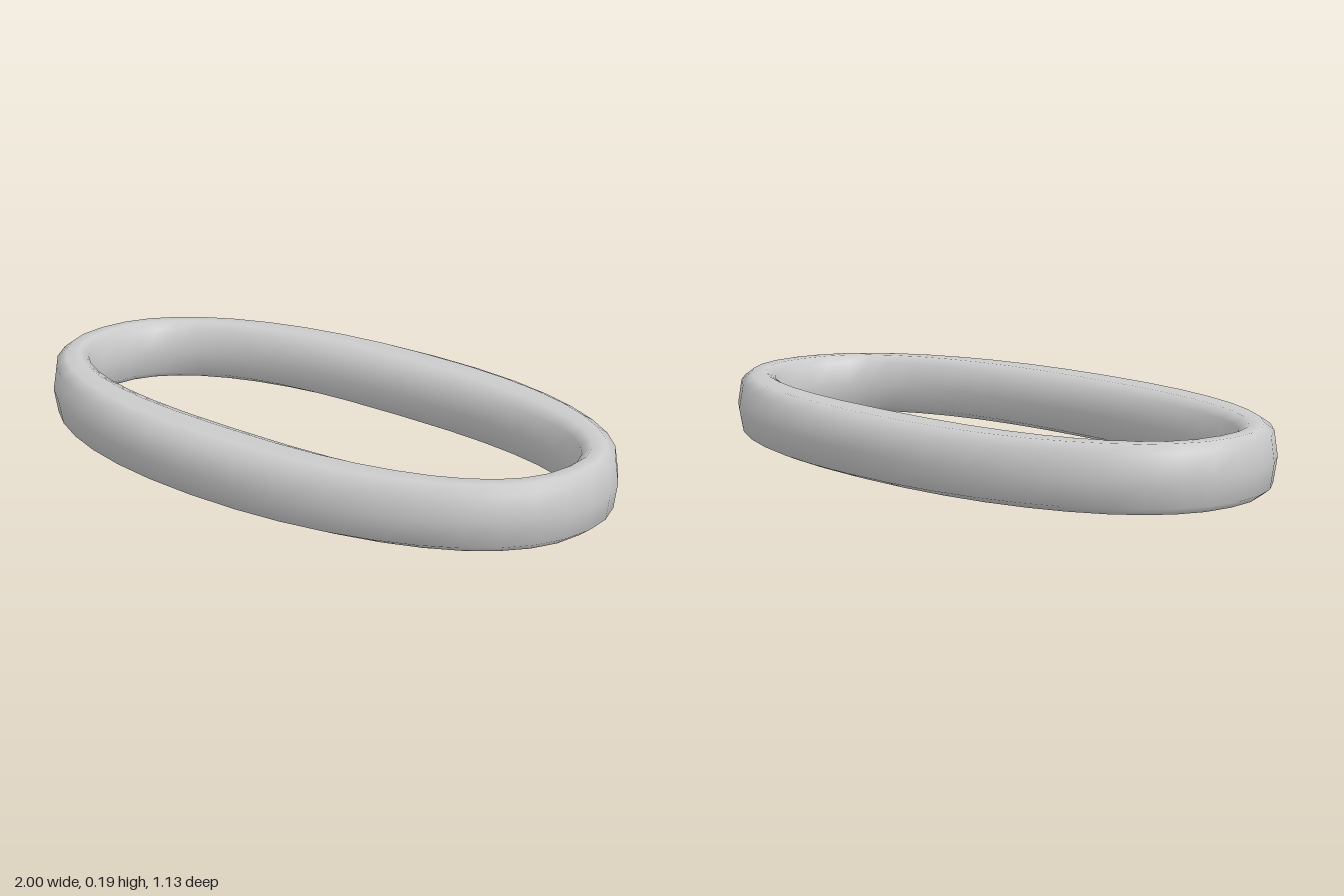
import * as THREE from 'three';

const SEGMENTS = 40;

// Rounded section: u runs from inner (-1) to outer (1) edge, v from bottom to top
const SECTION = [
  [1, 0], [0.82, 0.78], [0.35, 1], [-0.35, 1], [-0.82, 0.78],
  [-1, 0], [-0.82, -0.78], [-0.35, -1], [0.35, -1], [0.82, -0.78],
];

// Point on a superellipse with half-axes a (x) and b (z)
function superellipse(t, a, b, n) {
  const p = (v) => Math.sign(v) * Math.abs(v) ** (2 / n);
  return new THREE.Vector2(a * p(Math.cos(t)), b * p(Math.sin(t)));
}

// Closed band swept between an inner and an outer outline
function bandGeometry() {
  const positions = [], index = [], sides = SECTION.length, half = 0.095;
  for (let i = 0; i < SEGMENTS; i++) {
    const t = (i / SEGMENTS) * Math.PI * 2;
    const outer = superellipse(t, 1, 0.567, 2.08);
    const inner = superellipse(t, 0.88, 0.34, 2.6);
    for (let j = 0; j < sides; j++) {
      const [u, v] = SECTION[j];
      const p = inner.clone().lerp(outer, (u + 1) / 2);
      positions.push(p.x, half + v * half, p.y);
      const a = i * sides + j;
      const b = i * sides + ((j + 1) % sides);
      const c = ((i + 1) % SEGMENTS) * sides + j;
      const d = ((i + 1) % SEGMENTS) * sides + ((j + 1) % sides);
      index.push(a, b, c, b, d, c);
    }
  }
  const geometry = new THREE.BufferGeometry();
  geometry.setAttribute('position', new THREE.Float32BufferAttribute(positions, 3));
  geometry.setIndex(index);
  geometry.computeVertexNormals();
  return geometry;
}

export function createModel() {
  const group = new THREE.Group();
  const ring = new THREE.Mesh(bandGeometry(), new THREE.MeshStandardMaterial({ color: 0xcccccc }));
  ring.name = 'ovalRing';
  group.add(ring);
  return group;
}
